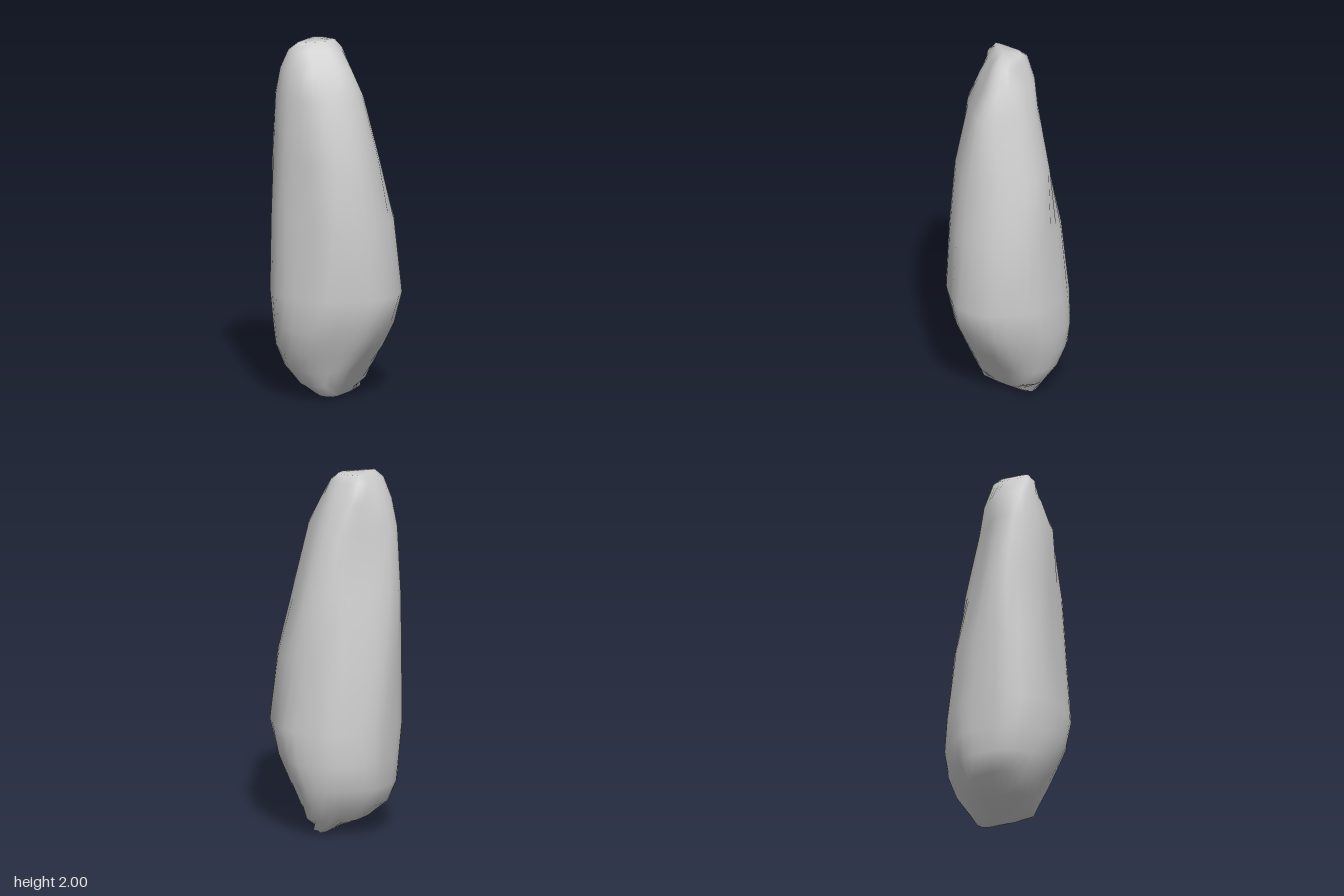
import * as THREE from 'three';

// Cross-sections from bottom to top: height, then how far the stone reaches
// towards +x, +x+z, +z, -x+z, -x, -x-z, -z, +x-z.
const SECTIONS = [
  [0.00, 0.01, 0.08, 0.08, 0.08, 0.02, 0.13, 0.16, 0.13],
  [0.02, 0.03, 0.12, 0.15, 0.13, 0.05, 0.155, 0.19, 0.155],
  [0.08, 0.08, 0.14, 0.20, 0.22, 0.19, 0.20, 0.23, 0.18],
  [0.17, 0.13, 0.18, 0.25, 0.29, 0.30, 0.27, 0.285, 0.21],
  [0.28, 0.215, 0.225, 0.30, 0.335, 0.34, 0.33, 0.315, 0.25],
  [0.42, 0.295, 0.285, 0.335, 0.355, 0.345, 0.345, 0.335, 0.30],
  [0.60, 0.36, 0.325, 0.34, 0.375, 0.355, 0.34, 0.325, 0.33],
  [1.00, 0.30, 0.31, 0.305, 0.365, 0.36, 0.30, 0.275, 0.30],
  [1.35, 0.245, 0.275, 0.295, 0.35, 0.365, 0.23, 0.245, 0.21],
  [1.70, 0.18, 0.19, 0.285, 0.345, 0.32, 0.18, 0.14, 0.12],
  [1.85, 0.10, 0.12, 0.24, 0.32, 0.28, 0.17, 0.09, 0.06],
  [1.96, 0.03, 0.07, 0.22, 0.29, 0.21, 0.14, 0.03, 0.02],
  [2.00, -0.02, 0.03, 0.19, 0.25, 0.16, 0.10, 0.01, -0.01],
];
const SIDES = 32;
const SHARPNESS = 14; // higher gives crisper facets

function createStoneGeometry() {
  const positions = [];
  const indices = [];
  const centres = [];

  // Each ring is a rounded octagon bounded by its eight reaches
  for (const [y, ...reach] of SECTIONS) {
    const cx = (reach[0] - reach[4]) / 2;
    const cz = (reach[2] - reach[6]) / 2;
    centres.push([cx, y, cz]);
    for (let j = 0; j < SIDES; j++) {
      const a = (j / SIDES) * Math.PI * 2;
      let sum = 0;
      reach.forEach((h, k) => {
        const b = (k * Math.PI) / 4;
        const distance = Math.max(0.01, h - cx * Math.cos(b) - cz * Math.sin(b));
        sum += Math.pow(Math.max(0, Math.cos(a - b)) / distance, SHARPNESS);
      });
      const r = Math.pow(sum, -1 / SHARPNESS);
      positions.push(cx + r * Math.cos(a), y, cz + r * Math.sin(a));
    }
  }

  // Skin between rings
  const last = SECTIONS.length - 1;
  for (let i = 0; i < last; i++) {
    for (let j = 0; j < SIDES; j++) {
      const a = i * SIDES + j;
      const b = i * SIDES + ((j + 1) % SIDES);
      indices.push(a, a + SIDES, b, b, a + SIDES, b + SIDES);
    }
  }

  // Bottom and top caps
  const bottom = positions.length / 3;
  positions.push(...centres[0], ...centres[last]);
  for (let j = 0; j < SIDES; j++) {
    const next = (j + 1) % SIDES;
    indices.push(bottom, j, next);
    indices.push(bottom + 1, last * SIDES + next, last * SIDES + j);
  }

  const geometry = new THREE.BufferGeometry();
  geometry.setAttribute('position', new THREE.Float32BufferAttribute(positions, 3));
  geometry.setIndex(indices);
  geometry.computeVertexNormals();
  return geometry;
}

export function createModel() {
  const group = new THREE.Group();
  group.name = 'standingStone';
  const stone = new THREE.Mesh(
    createStoneGeometry(),
    new THREE.MeshStandardMaterial({ color: 0xcccccc })
  );
  stone.name = 'stone';
  group.add(stone);
  return group;
}
